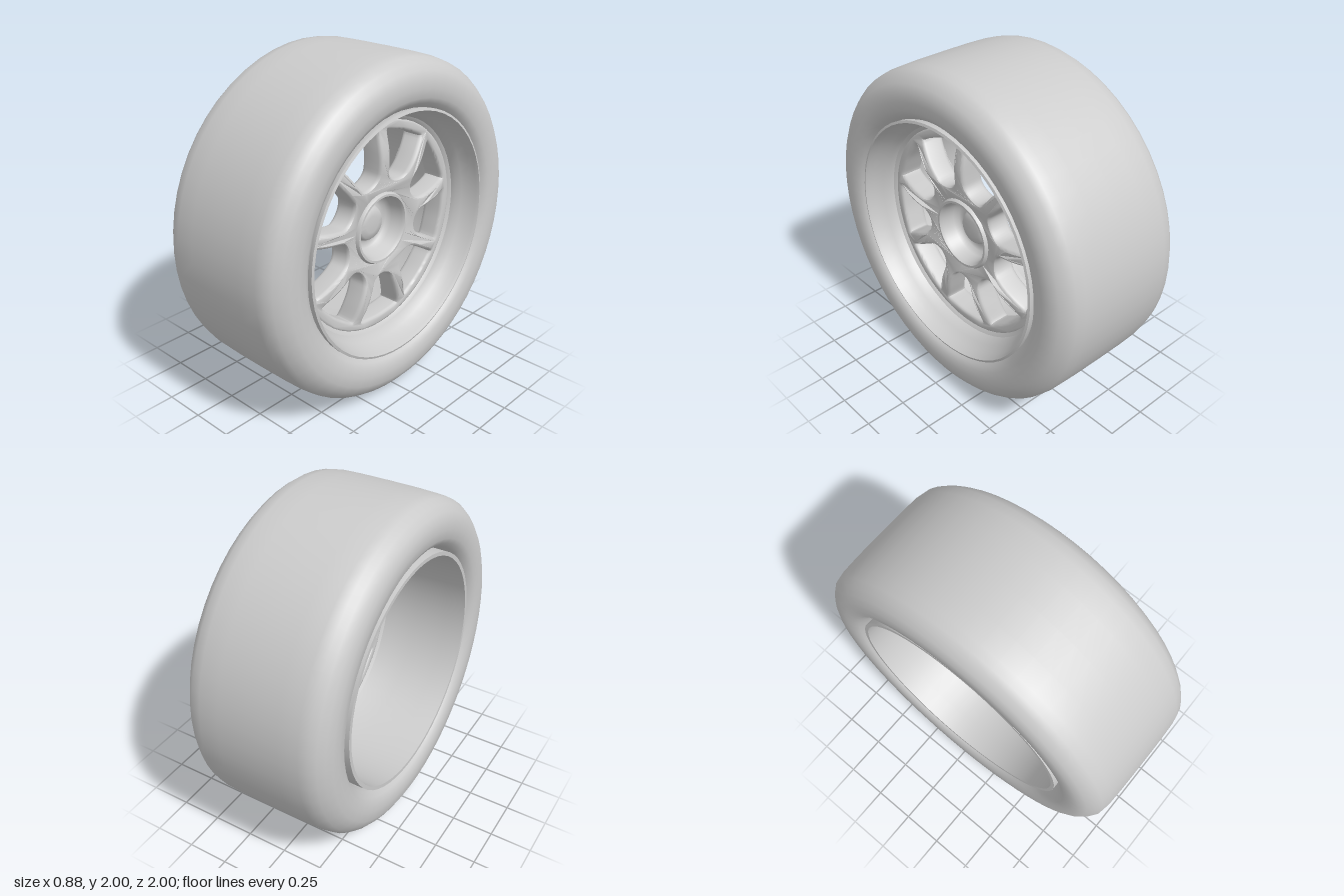
import * as THREE from 'three';
import { toCreasedNormals } from 'three/addons/utils/BufferGeometryUtils.js';

const SEGMENTS = 56;
const SPOKES = 9;
const material = new THREE.MeshStandardMaterial({ color: 0xcccccc });

function part(name, geometry, crease = 0.6) {
  const mesh = new THREE.Mesh(toCreasedNormals(geometry, crease), material);
  mesh.name = name;
  return mesh;
}

// Profile of [radius, x] pairs turned around the wheel axle (x)
function turned(name, profile, crease) {
  const points = profile.map(([r, x]) => new THREE.Vector2(r, x));
  const geometry = new THREE.LatheGeometry(points, SEGMENTS);
  geometry.rotateZ(-Math.PI / 2);
  return part(name, geometry, crease);
}

function makeTire() {
  const half = [
    [0.71, 0.36], [0.725, 0.39], [0.75, 0.42], [0.78, 0.437], [0.83, 0.442], [0.885, 0.44],
    [0.925, 0.42], [0.96, 0.39], [0.985, 0.355], [0.995, 0.3], [0.999, 0.18],
  ];
  const back = half.map(([r, x]) => [r, -x]);
  return turned('tire', [...back, [1, 0], ...half.slice().reverse(), back[0]], 0.7);
}

function makeRim() {
  return turned('rim', [
    [0.68, -0.42], [0.703, -0.42], [0.703, 0.36], [0.722, 0.39], [0.724, 0.42],
    [0.71, 0.425], [0.703, 0.405], [0.695, 0.37], [0.67, 0.32], [0.652, 0.29], [0.646, 0.26],
    [0.63, 0.25], [0.62, 0.24], [0.62, 0.12], [0.645, 0.1], [0.655, 0.04], [0.668, -0.1],
    [0.675, -0.3], [0.68, -0.42],
  ]);
}

// Outline of the rounded opening between two spokes, around a given angle
function windowPath(angle) {
  const side = [
    [0.283, 0.05], [0.31, 0.085], [0.35, 0.104], [0.45, 0.14], [0.545, 0.173],
    [0.562, 0.172], [0.57, 0.155], [0.58, 0.08],
  ];
  const outline = [[0.272, 0], ...side, [0.585, 0], ...side.slice().reverse().map(([r, t]) => [r, -t])];
  const c = Math.cos(angle), s = Math.sin(angle);
  const curve = new THREE.CatmullRomCurve3(
    outline.map(([r, t]) => new THREE.Vector3(r * c - t * s, r * s + t * c, 0)), true, 'centripetal');
  const points = curve.getSpacedPoints(56).slice(0, -1);
  return new THREE.Path(points.map((p) => new THREE.Vector2(p.x, p.y)));
}

function makeSpokes() {
  const shape = new THREE.Shape().absarc(0, 0, 0.615, 0, Math.PI * 2);
  shape.holes.push(new THREE.Path().absarc(0, 0, 0.215, 0, Math.PI * 2));
  for (let i = 0; i < SPOKES; i++) {
    shape.holes.push(windowPath(-Math.PI / 2 + (i * Math.PI * 2) / SPOKES));
  }
  const geometry = new THREE.ExtrudeGeometry(shape, {
    depth: 0.09, bevelThickness: 0.025, bevelSize: 0.018, bevelSegments: 3, curveSegments: 28,
  });
  // Spokes arch gently forward between hub and rim
  const pos = geometry.attributes.position;
  for (let i = 0; i < pos.count; i++) {
    const k = (Math.hypot(pos.getX(i), pos.getY(i)) - 0.22) / 0.36;
    if (k > 0 && k < 1) pos.setZ(i, pos.getZ(i) + 0.03 * Math.sin(k * Math.PI));
  }
  geometry.translate(0, 0, 0.135);
  geometry.rotateY(Math.PI / 2);
  return part('spokes', geometry);
}

// Recessed cup with a domed button in the middle
function makeHub() {
  return turned('hub', [
    [0, 0.1], [0.2, 0.1], [0.215, 0.12], [0.215, 0.25], [0.205, 0.268], [0.192, 0.268],
    [0.182, 0.25], [0.172, 0.18], [0.155, 0.15], [0.125, 0.14], [0.108, 0.145], [0.1, 0.165],
    [0.088, 0.18], [0.05, 0.185], [0, 0.187],
  ], 0.8);
}

export function createModel() {
  const wheel = new THREE.Group();
  wheel.name = 'wheel';
  wheel.add(makeTire(), makeRim(), makeSpokes(), makeHub());
  wheel.position.y = 1;
  const model = new THREE.Group();
  model.name = 'carWheel';
  model.add(wheel);
  return model;
}
